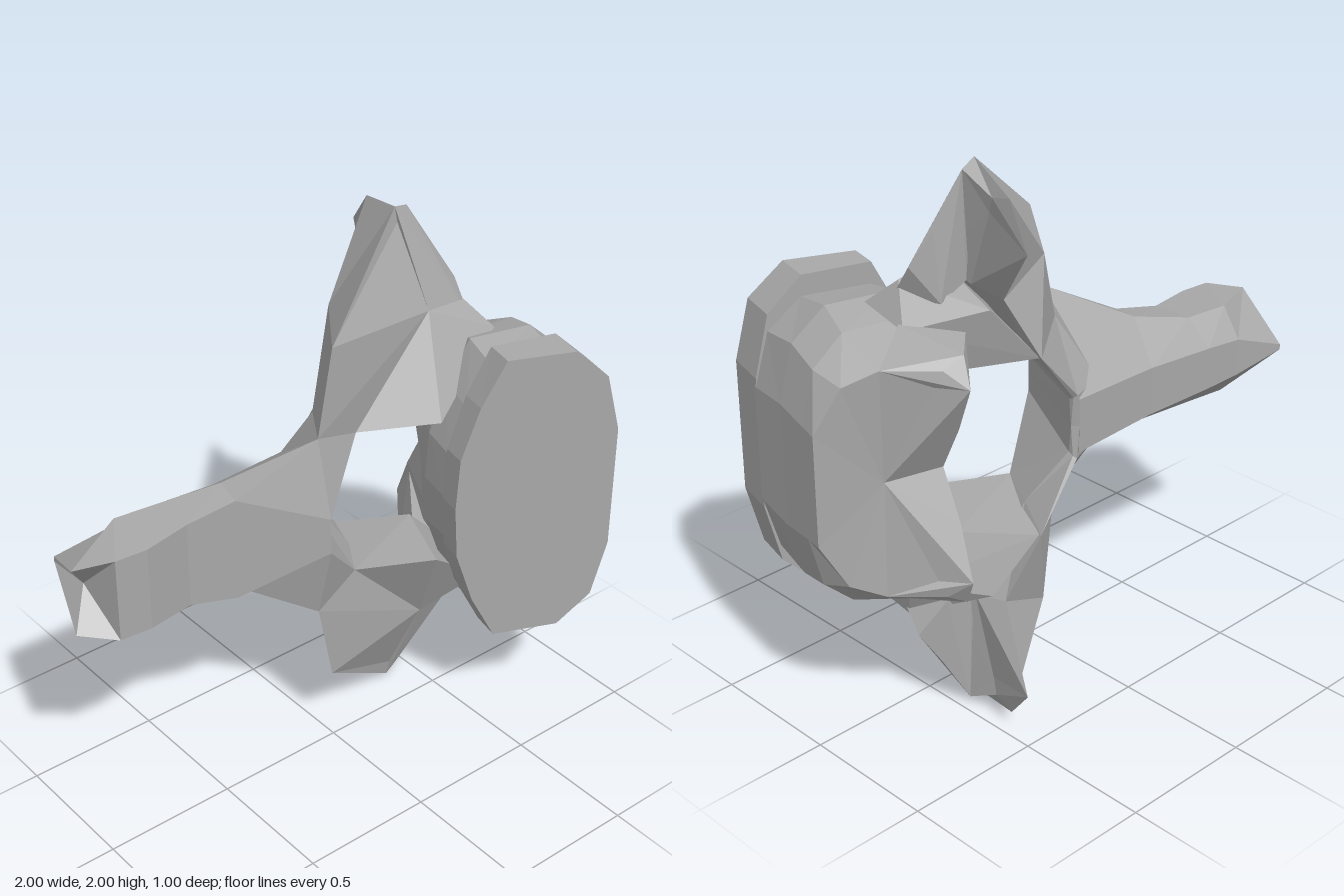
import * as THREE from 'three';
import { ConvexGeometry } from 'three/addons/geometries/ConvexGeometry.js';

const bone = new THREE.MeshStandardMaterial({ color: 0xa8a8a8, flatShading: true });
bone.name = 'boneGrey';

// the model is symmetric about the height y = 1
const flip = ([x, y, z]) => [x, 2 - y, z];

// joins closed cross-sections of equal length and closes both ends with a fan
function loft(rings, startTip, endTip) {
  const tris = [];
  const centre = (r) => [0, 1, 2].map((k) => r.reduce((s, p) => s + p[k], 0) / r.length);
  const n = rings[0].length;
  const last = rings[rings.length - 1];
  const c0 = startTip || centre(rings[0]);
  const c1 = endTip || centre(last);
  for (let i = 0; i < n; i++) {
    const j = (i + 1) % n;
    for (let k = 0; k + 1 < rings.length; k++) {
      const a = rings[k], b = rings[k + 1];
      tris.push([a[i], a[j], b[j]], [a[i], b[j], b[i]]);
    }
    tris.push([c0, rings[0][j], rings[0][i]], [c1, last[i], last[j]]);
  }
  // turn the faces outward if the enclosed volume comes out negative
  const vec = (p) => new THREE.Vector3(...p);
  const o = vec(c0);
  const volume = tris.reduce((s, [a, b, c]) =>
    s + vec(a).sub(o).dot(vec(b).sub(o).cross(vec(c).sub(o))), 0);
  const points = tris.flatMap((t) => (volume < 0 ? [t[0], t[2], t[1]] : t));
  const g = new THREE.BufferGeometry();
  g.setAttribute('position', new THREE.Float32BufferAttribute(points.flat(), 3));
  g.computeVertexNormals();
  return g;
}

const hull = (pts) => new ConvexGeometry(pts.map((p) => new THREE.Vector3(...p)));

// rounded outline of the body: u runs across x, v runs along the height
const half = [[0, 0], [0.02, 0.35], [0.13, 0.7], [0.28, 1], [0.7, 1], [0.91, 0.8], [1, 0.42]];
const bothHalves = (upper) => [...upper, ...upper.slice(1).reverse().map(flip)];
const bodyRing = (x0, z0, x1, z1, h) => bothHalves(
  half.map(([u, v]) => [x0 + (x1 - x0) * u, 1 + h * v, z0 + (z1 - z0) * u]));

export function createModel() {
  const model = new THREE.Group();
  model.name = 'vertebra';
  const add = (name, geometry) => {
    const mesh = new THREE.Mesh(geometry, bone);
    mesh.name = name;
    model.add(mesh);
  };
  const addPair = (name, make, pts) => {
    add('upper' + name, make(pts));
    add('lower' + name, make(pts[0][0].length ? pts.map((r) => r.map(flip)) : pts.map(flip)));
  };

  // tilted end plate
  add('endPlate', loft([
    bodyRing(0.34, 0.26, 0.88, 0.5, 0.575),
    bodyRing(0.36, 0.17, 0.92, 0.34, 0.575),
  ]));

  // body behind the plate, ending in a slanted face with two raised corners
  add('body', loft([
    bodyRing(0.37, 0.16, 0.92, 0.35, 0.5),
    bodyRing(0.4, 0.03, 0.955, 0.17, 0.53),
    bodyRing(0.47, -0.07, 0.985, 0.02, 0.49),
    bothHalves([
      [0.59, 1, -0.2], [0.6, 1.17, -0.29], [0.63, 1.35, -0.38], [0.68, 1.41, -0.31],
      [0.82, 1.41, -0.17], [0.92, 1.36, -0.1], [1, 1.2, -0.05],
    ]),
  ], null, [0.8, 1, -0.15]));

  // long spine: front, side and back corner of each section as [x, half height, z]
  const spine = [
    [[-0.88, 0.16, -0.04], [-1, 0.13, -0.12], [-0.91, 0.01, -0.38]],
    [[-0.76, 0.16, -0.03], [-0.75, 0.17, -0.24], [-0.73, 0.07, -0.33]],
    [[-0.58, 0.165, -0.06], [-0.58, 0.17, -0.22], [-0.58, 0.08, -0.32]],
    [[-0.4, 0.2, -0.03], [-0.38, 0.21, -0.14], [-0.3, 0.09, -0.3]],
    [[-0.1, 0.07, 0.11], [-0.1, 0.36, 0.04], [0.07, 0.1, -0.31]],
  ].map((s) => [
    ...s.map(([x, h, z]) => [x, 1 + h, z]),
    ...s.slice().reverse().map(([x, h, z]) => [x, 1 - h, z]),
  ]);
  add('spine', loft(spine, [-0.91, 1, -0.2]));

  // arch wall sweeping out into a wing that is hollow on its outer side
  addPair('Wing', (r) => loft(r), [
    [[-0.1, 1.0, 0.11], [0.09, 1.0, -0.29], [0.08, 1.0, -0.3], [0.07, 1.0, -0.31], [-0.1, 1.0, -0.29]],
    [[-0.1, 1.07, 0.11], [0.09, 1.1, -0.28], [0.09, 1.11, -0.3], [0.08, 1.12, -0.31], [-0.08, 1.11, -0.25]],
    [[-0.1, 1.36, 0.04], [0.1, 1.29, 0.0], [0.2, 1.29, -0.18], [0.28, 1.33, -0.34], [0.02, 1.34, -0.14]],
    [[-0.03, 1.68, 0.03], [0.44, 1.64, -0.02], [0.42, 1.58, -0.16], [0.4, 1.56, -0.29], [0.19, 1.65, -0.26]],
    [[0.39, 2.0, -0.15], [0.46, 1.98, -0.17], [0.44, 1.86, -0.27], [0.5, 1.8, -0.5], [0.46, 1.94, -0.38]],
  ]);

  // ridge on the outer side of the wing
  addPair('WingRidge', hull, [
    [0.39, 2.0, -0.15], [0.46, 1.98, -0.17], [0.56, 1.8, -0.14], [0.63, 1.68, -0.1],
    [0.63, 1.56, -0.02], [0.44, 1.64, -0.02], [0.44, 1.6, -0.16], [0.55, 1.55, -0.16],
  ]);

  // bridge from the wing to the body
  addPair('Bridge', hull, [
    [0.1, 1.29, 0.0], [0.37, 1.29, 0.14], [0.44, 1.64, -0.02], [0.62, 1.62, -0.04],
    [0.68, 1.53, 0.06], [0.66, 1.47, -0.1], [0.5, 1.3, -0.16], [0.28, 1.33, -0.33],
    [0.44, 1.53, -0.27],
  ]);

  // joint knob over the raised corner of the body
  addPair('JointKnob', hull, [
    [0.63, 1.35, -0.38], [0.61, 1.45, -0.33], [0.68, 1.41, -0.31], [0.52, 1.47, -0.24],
    [0.5, 1.34, -0.14], [0.6, 1.2, -0.28], [0.66, 1.49, -0.08], [0.82, 1.41, -0.17],
  ]);

  return model;
}
